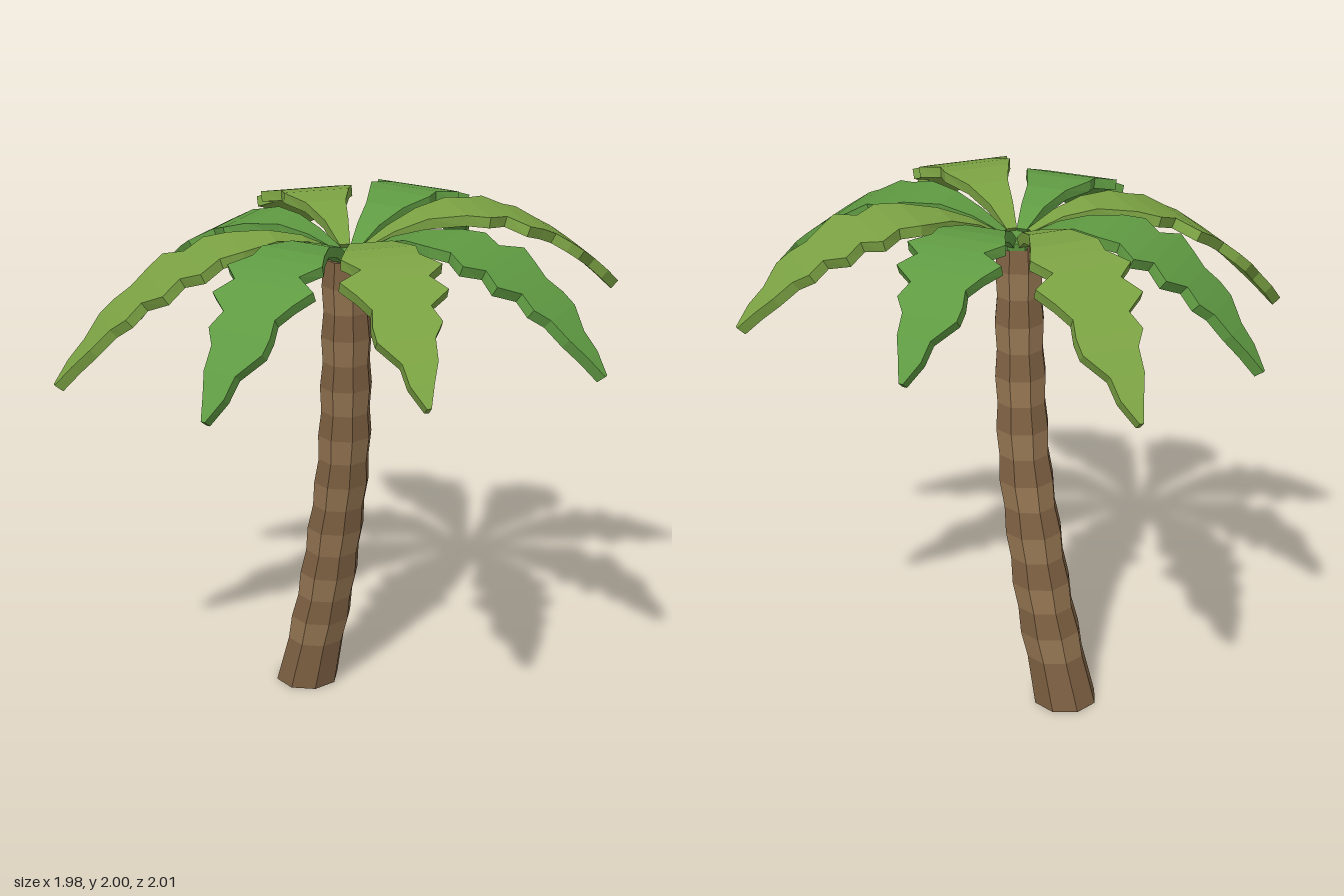
import * as THREE from 'three';

const HUB = new THREE.Vector3(0.03, 1.84, -0.02);

const material = (color) => new THREE.MeshStandardMaterial({ color, flatShading: true });

// Skin a list of equal-length loops (anticlockwise seen from ahead) and cap both ends.
function loft(loops) {
  const pos = [];
  const tri = (a, b, c) => pos.push(...a.toArray(), ...b.toArray(), ...c.toArray());
  const n = loops[0].length;
  for (let s = 0; s < loops.length - 1; s++) {
    const A = loops[s], B = loops[s + 1];
    for (let i = 0; i < n; i++) {
      const j = (i + 1) % n;
      tri(A[i], A[j], B[j]);
      tri(A[i], B[j], B[i]);
    }
  }
  const first = loops[0], last = loops[loops.length - 1];
  for (let i = 1; i < n - 1; i++) {
    tri(first[0], first[i + 1], first[i]);
    tri(last[0], last[i], last[i + 1]);
  }
  const g = new THREE.BufferGeometry();
  g.setAttribute('position', new THREE.Float32BufferAttribute(pos, 3));
  g.computeVertexNormals();
  return g;
}

// Leaning trunk: eight-sided rings in two alternating browns.
function createTrunk() {
  const trunk = new THREE.Group();
  trunk.name = 'trunk';
  const browns = [material(0x7d6042), material(0x947552)];
  const path = new THREE.CatmullRomCurve3([
    [-0.235, 0, -0.018], [-0.15, 0.4, -0.045], [-0.095, 0.7, -0.053], [-0.04, 1, -0.05],
    [0.003, 1.4, -0.03], [0.032, 1.84, -0.006],
  ].map((p) => new THREE.Vector3(...p)));
  const segments = 17;
  const ring = (k) => {
    const y = k === 0 ? 0 : 0.2 + (k - 1) * 0.1025;
    // find the path point at this height
    let lo = 0, hi = 1;
    for (let i = 0; i < 25; i++) {
      const mid = (lo + hi) / 2;
      if (path.getPoint(mid).y < y) lo = mid; else hi = mid;
    }
    const c = path.getPoint(lo);
    const r = THREE.MathUtils.lerp(0.122, 0.088, y / 1.84) + (k % 2 ? -0.004 : 0.004);
    return Array.from({ length: 8 }, (_, i) => {
      const a = ((i + 0.5) * Math.PI) / 4;
      return new THREE.Vector3(c.x + r * Math.cos(a), y, c.z - r * Math.sin(a));
    });
  };
  for (let k = 0; k < segments; k++) {
    const mesh = new THREE.Mesh(loft([ring(k), ring(k + 1)]), browns[k % 2]);
    mesh.name = 'trunkRing' + (k + 1);
    trunk.add(mesh);
  }
  return trunk;
}

// Jagged leaf outline: distance from the hub, left width, right width.
const OUTLINE = [
  [0.05, 0.02, 0.02], [0.16, 0.045, 0.045], [0.28, 0.085, 0.07], [0.41, 0.135, 0.12],
  [0.49, 0.125, 0.155], [0.57, 0.185, 0.105], [0.63, 0.12, 0.195], [0.7, 0.17, 0.15],
  [0.76, 0.09, 0.115], [0.82, 0.115, 0.13], [0.87, 0.075, 0.128], [0.94, 0.065, 0.06],
  [1.0, 0.035, 0.05], [1.06, 0.008, 0.008],
];

// Frond that rises from the hub, arches over and droops to its tip.
function frondGeometry(tipX, tipZ, tipY, mirrored) {
  const dir = new THREE.Vector3(tipX - HUB.x, 0, tipZ - HUB.z);
  const length = dir.length();
  dir.normalize();
  const right = new THREE.Vector3(-dir.z, 0, dir.x);
  const thickness = 0.04;
  const peakY = 1.945 + 0.25 * (tipY - 1.43);
  const peakR = 0.3 + 0.55 * (tipY - 1.43);
  const height = (r) => r < peakR
    ? peakY - (peakY - 1.87) * ((peakR - r) / (peakR - 0.05)) ** 2
    : peakY - (peakY - tipY - 0.02) * ((r - peakR) / (length - peakR)) ** 2;

  const loops = OUTLINE.map(([s, a, b]) => {
    const r = (s * length) / 1.06;
    const slope = (height(r + 0.005) - height(r - 0.005)) / 0.01;
    const down = dir.clone().multiplyScalar(slope).add(new THREE.Vector3(0, -1, 0))
      .setLength(thickness);
    const mid = new THREE.Vector3(HUB.x, height(r), HUB.z).addScaledVector(dir, r);
    const R = mid.clone().addScaledVector(right, mirrored ? a : b);
    const L = mid.clone().addScaledVector(right, mirrored ? -b : -a);
    return [R, R.clone().add(down), L.clone().add(down), L];
  });
  return loft(loops);
}

export function createModel() {
  const model = new THREE.Group();
  model.name = 'palmTree';
  model.add(createTrunk());

  // Small green cap joining the fronds
  const hub = new THREE.Mesh(new THREE.CylinderGeometry(0.085, 0.08, 0.03, 8), material(0x5f9a42));
  hub.name = 'crownHub';
  hub.position.copy(HUB);
  hub.rotation.y = Math.PI / 8;
  model.add(hub);

  // Eight fronds in alternating greens: tip x, tip z, tip height
  const greens = [material(0x7ba243), material(0x5f9a42)];
  const crown = new THREE.Group();
  crown.name = 'crown';
  [
    [-0.39, 1.0, 1.43], [0.41, 0.9, 1.51], [0.98, 0.39, 1.61], [0.98, -0.42, 1.54],
    [0.44, -1.0, 1.64], [-0.33, -0.91, 1.64], [-0.99, -0.44, 1.56], [-0.84, 0.37, 1.45],
  ].forEach(([x, z, y], i) => {
    const frond = new THREE.Mesh(frondGeometry(x, z, y, i % 2 === 1), greens[i % 2]);
    frond.name = 'frond' + (i + 1);
    crown.add(frond);
  });
  model.add(crown);
  return model;
}
